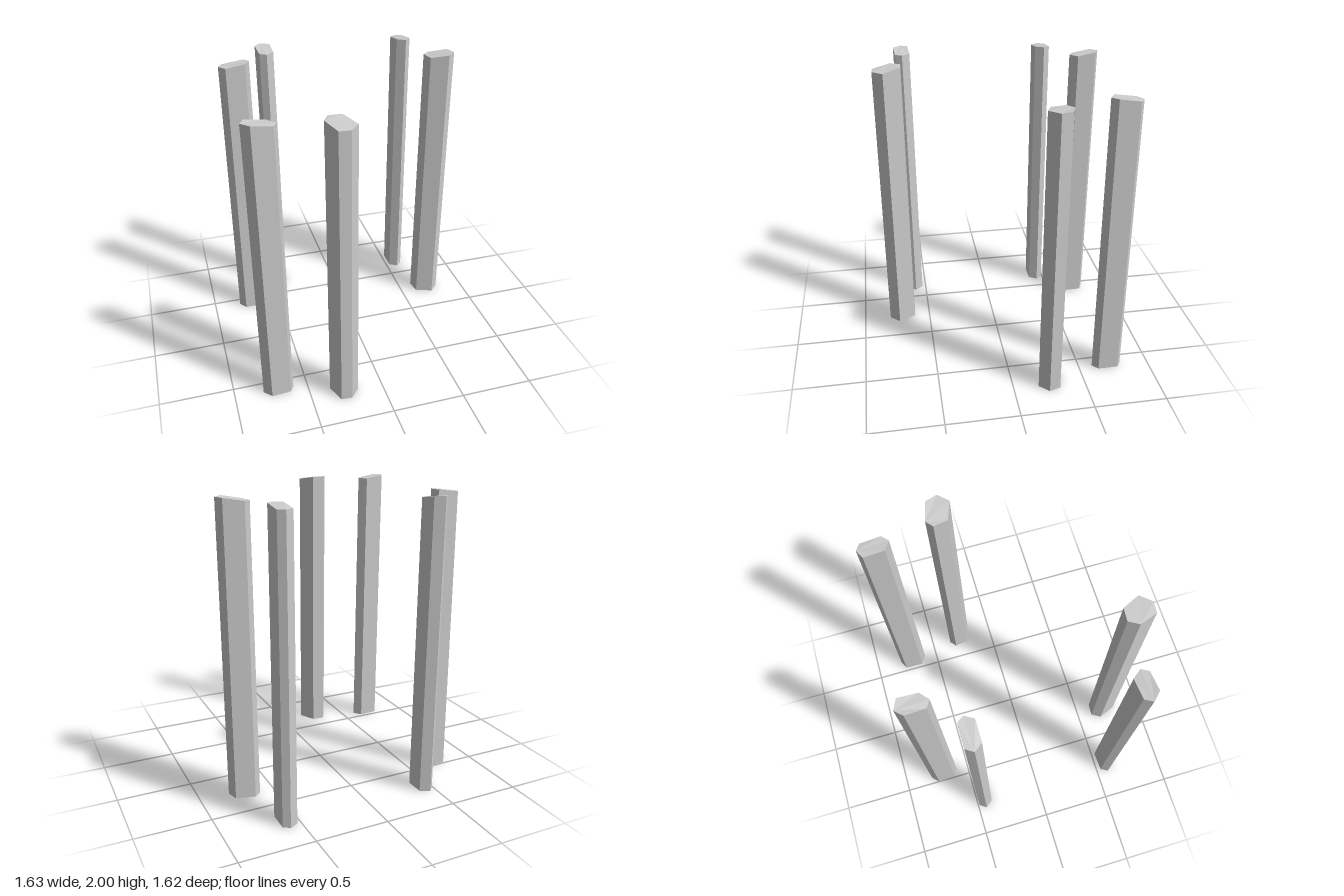
import * as THREE from 'three';

const HEIGHT = 2;

// Each post: six-sided outline [x, z] (clockwise from above) and the lean of its top
const posts = [
  { name: 'backLeftPost', lean: [0, -0.013],
    outline: [[-0.456, -0.812], [-0.39, -0.78], [-0.387, -0.64], [-0.443, -0.59], [-0.49, -0.62], [-0.5, -0.764]] },
  { name: 'sideLeftPost', lean: [0.005, -0.003],
    outline: [[-0.808, -0.44], [-0.775, -0.49], [-0.622, -0.493], [-0.592, -0.45], [-0.627, -0.391], [-0.766, -0.387]] },
  { name: 'backRightPost', lean: [0, 0.005],
    outline: [[0.583, -0.803], [0.627, -0.773], [0.627, -0.629], [0.585, -0.59], [0.526, -0.629], [0.526, -0.773]] },
  { name: 'sideRightPost', lean: [0.012, 0.004],
    outline: [[0.648, -0.354], [0.788, -0.314], [0.812, -0.236], [0.749, -0.17], [0.618, -0.218], [0.602, -0.314]] },
  { name: 'frontLeftPost', lean: [-0.013, 0],
    outline: [[-0.817, 0.585], [-0.788, 0.533], [-0.64, 0.526], [-0.596, 0.581], [-0.622, 0.629], [-0.766, 0.638]] },
  { name: 'frontPost', lean: [-0.003, -0.005],
    outline: [[-0.36, 0.672], [-0.321, 0.605], [-0.234, 0.611], [-0.172, 0.734], [-0.234, 0.805], [-0.308, 0.8]] },
];

// Leaning prism with a bevelled top and an open bottom
function postGeometry(outline, [lx, lz]) {
  const n = outline.length;
  const cx = outline.reduce((s, p) => s + p[0], 0) / n;
  const cz = outline.reduce((s, p) => s + p[1], 0) / n;
  const length = Math.hypot(lx, lz);
  const bottom = [];
  const top = [];
  for (const [x, z] of outline) {
    const along = ((x - cx) * lx + (z - cz) * lz) / length;
    const ahead = along > 0;
    bottom.push(ahead ? [x - lx, 0, z - lz] : [x, 0, z]);
    // the trailing side of the top is slightly lower
    const y = along < -0.04 ? HEIGHT - 0.02 : HEIGHT;
    top.push(ahead ? [x, y, z] : [x + lx, y, z + lz]);
  }
  const corners = [];
  for (let i = 0; i < n; i++) {
    const j = (i + 1) % n;
    corners.push(bottom[j], bottom[i], top[i], bottom[j], top[i], top[j]);
    if (i > 0 && j > 0) corners.push(top[0], top[j], top[i]);
  }
  const geometry = new THREE.BufferGeometry();
  geometry.setAttribute('position', new THREE.Float32BufferAttribute(corners.flat(), 3));
  geometry.computeVertexNormals();
  return geometry;
}

export function createModel() {
  const group = new THREE.Group();
  group.name = 'posts';
  const grey = new THREE.MeshStandardMaterial({ color: 0xcccccc, flatShading: true, side: THREE.DoubleSide });
  grey.name = 'light grey';
  for (const { name, outline, lean } of posts) {
    const post = new THREE.Mesh(postGeometry(outline, lean), grey);
    post.name = name;
    group.add(post);
  }
  return group;
}
